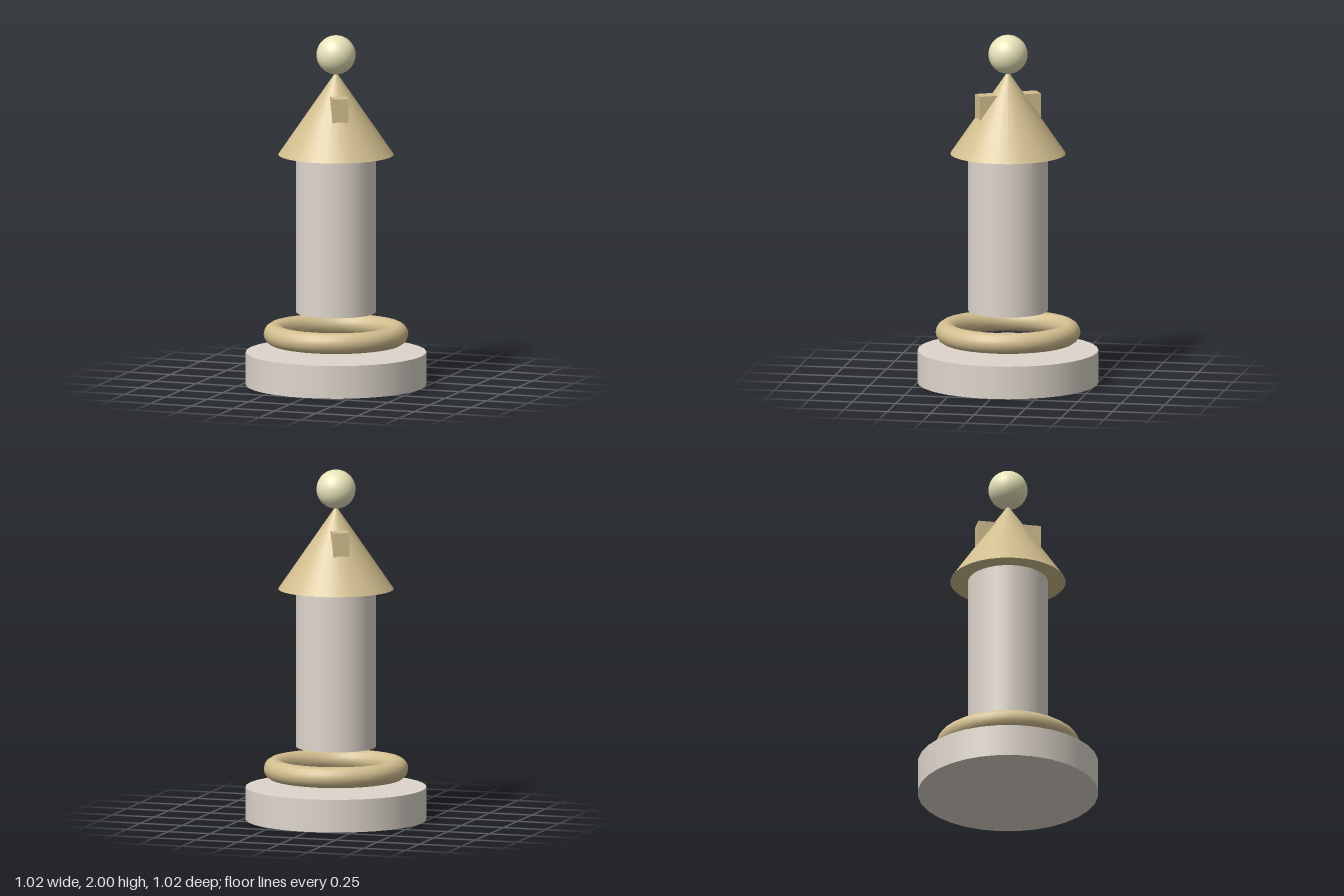
import * as THREE from 'three';

export function createModel() {
  const model = new THREE.Group();
  const stone = new THREE.MeshStandardMaterial({ color: 0xded6cc });
  const brass = new THREE.MeshStandardMaterial({ color: 0xd2be8f });
  const pale = new THREE.MeshStandardMaterial({ color: 0xe8e4ba });

  const add = (name, geometry, material, y) => {
    const mesh = new THREE.Mesh(geometry, material);
    mesh.name = name;
    mesh.position.y = y;
    model.add(mesh);
    return mesh;
  };

  // Round foot
  add('base', new THREE.CylinderGeometry(0.512, 0.512, 0.187, 32), stone, 0.0935);

  // Ring floating between the foot and the shaft
  const ring = new THREE.TorusGeometry(0.35, 0.06, 16, 32).rotateX(Math.PI / 2);
  add('ring', ring, brass, 0.29);

  // Column
  add('shaft', new THREE.CylinderGeometry(0.226, 0.226, 0.905, 32), stone, 0.8675);

  // Pointed roof with a bar passing through it
  add('coneRoof', new THREE.ConeGeometry(0.327, 0.475, 32), brass, 1.5555);
  const bar = add('crossBar', new THREE.BoxGeometry(0.093, 0.137, 0.36), brass, 1.594);
  bar.rotation.y = 0.5;

  // Ball on the tip
  add('finialBall', new THREE.SphereGeometry(0.111, 32, 24), pale, 1.889);

  return model;
}
